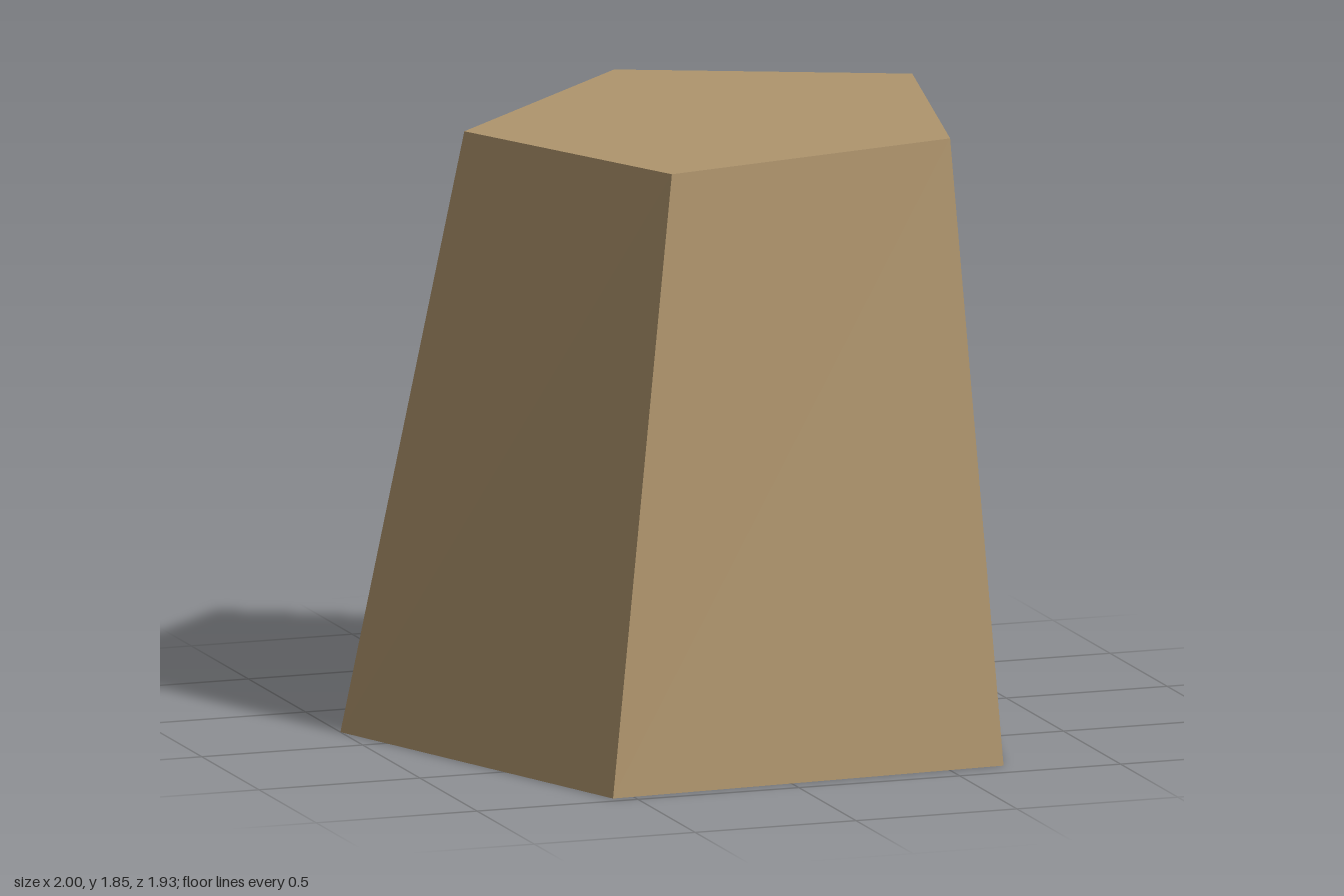
import * as THREE from 'three';

// Faceted geometry from a list of corner points, three per triangle
function facets(points) {
  const geometry = new THREE.BufferGeometry().setFromPoints(points);
  geometry.computeVertexNormals();
  return geometry;
}

export function createModel() {
  const group = new THREE.Group();
  group.name = 'taperedStump';

  const tan = new THREE.MeshStandardMaterial({ color: 0xb0966e, side: THREE.DoubleSide, flatShading: true });
  tan.name = 'tan';

  // Irregular pentagon outlines as [x, z], starting at the back corner
  const base = [[-0.035, -0.965], [1, -0.285], [0.67, 0.905], [-0.565, 0.965], [-1, -0.195]]
    .map(([x, z]) => new THREE.Vector3(x, 0, z));
  // The top is slightly tilted, rising towards +x
  const rim = [[0.005, -0.63], [0.77, -0.175], [0.575, 0.705], [-0.32, 0.79], [-0.67, -0.04]]
    .map(([x, z]) => new THREE.Vector3(x, 1.826 + 0.031 * x, z));

  // Five sloping side walls, open underneath
  const walls = [];
  for (let i = 0; i < 5; i++) {
    const j = (i + 1) % 5;
    walls.push(base[j], base[i], rim[i], base[j], rim[i], rim[j]);
  }
  const sides = new THREE.Mesh(facets(walls), tan);
  sides.name = 'sideWalls';

  // Flat cap
  const lid = [];
  for (let i = 1; i < 4; i++) lid.push(rim[0], rim[i + 1], rim[i]);
  const cap = new THREE.Mesh(facets(lid), tan);
  cap.name = 'topCap';

  group.add(sides, cap);
  // Centre vertically balanced bounds on the ground origin
  group.position.set(0, 0, 0);
  return group;
}
